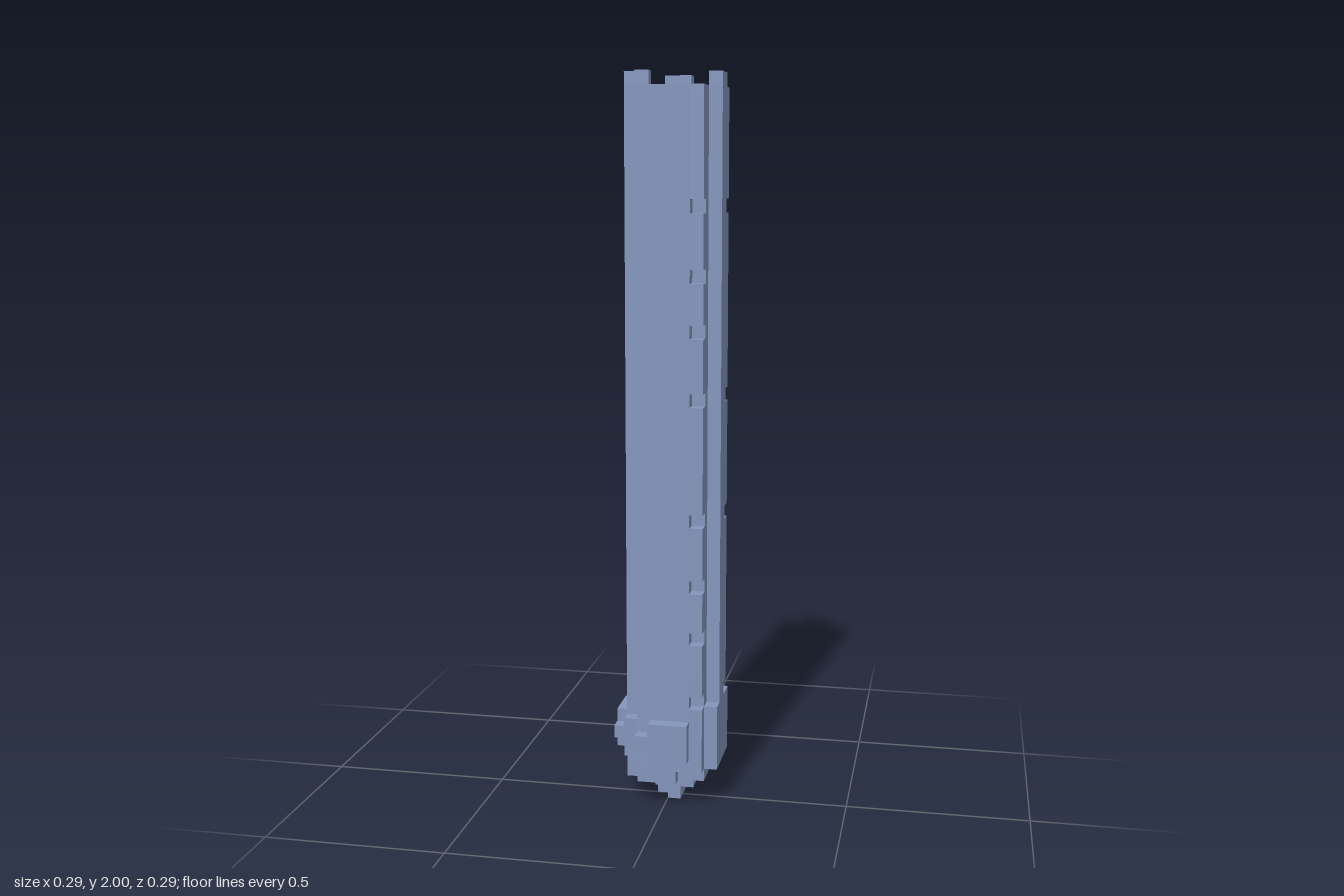
import * as THREE from 'three';

const U = 2 / 55; // block size: the model is 8 x 55 x 8 blocks

export function createModel() {
  const model = new THREE.Group();
  model.name = 'blockTower';
  const slate = new THREE.MeshStandardMaterial({ color: 0x8496bd });
  slate.name = 'slateBlue';

  // A box given by block ranges [start, end) in x and z, and y levels
  const box = (name, [x0, x1], [z0, z1], y0, y1) => {
    const mesh = new THREE.Mesh(
      new THREE.BoxGeometry((x1 - x0) * U, (y1 - y0) * U, (z1 - z0) * U), slate);
    mesh.position.set(((x0 + x1) / 2 - 4) * U, (y0 + y1) / 2 * U, ((z0 + z1) / 2 - 4) * U);
    mesh.name = name;
    model.add(mesh);
  };
  // The same box plus its twin across the x = -z diagonal
  const pair = (name, x, z, y0, y1) => {
    box(name, x, z, y0, y1);
    box(name + 'Twin', [8 - z[1], 8 - z[0]], [8 - x[1], 8 - x[0]], y0, y1);
  };
  // Vertical strip interrupted by one-block notches
  const notched = (add, name, x, z, y0, y1, notches) => {
    let y = y0;
    for (const n of [...notches, y1]) {
      if (n > y) add(name, x, z, y, n);
      y = n + 1;
    }
  };

  const allNotches = [8, 13, 17, 22, 31, 36, 40, 45];
  const fewNotches = [8, 22, 31, 45];

  // Shaft core, with an L-shaped pit in the sunken top
  box('shaftCore', [2, 6], [2, 6], 3, 51);
  pair('floorEdge', [2, 3], [2, 6], 51, 53);
  pair('floorSide', [5, 6], [2, 6], 51, 53);
  box('floorCorner', [3, 4], [4, 5], 51, 53);

  // Shaft walls, rising one block above the floor
  pair('frontWall', [2, 6], [6, 7], 3, 54);
  notched(pair, 'notchedCorner', [6, 7], [6, 7], 3, 54, allNotches);
  box('cornerRib', [6, 7], [1, 2], 3, 54);
  pair('sideWallBack', [6, 7], [2, 3], 3, 54);
  pair('sideWallMiddle', [6, 7], [3, 5], 3, 53);
  pair('sideWallFront', [6, 7], [5, 6], 3, 54);
  pair('outerRidge', [7, 8], [3, 5], 3, 54);
  notched(pair, 'outerRidgeNotched', [7, 8], [2, 3], 3, 54, fewNotches);

  // Prongs on the rim
  pair('ridgeProng', [7, 8], [3, 5], 54, 55);
  pair('cornerProng', [2, 3], [6, 7], 54, 55);

  // Thickened base
  pair('baseSideFront', [7, 8], [5, 6], 3, 8);
  pair('baseSideBack', [7, 8], [1, 2], 3, 8);
  box('baseCorner', [1, 2], [6, 7], 4, 7);

  // Raised plates on the base
  pair('basePlate', [3, 6], [7, 8], 4, 7);
  pair('basePlateTab', [2, 3], [7, 8], 5, 6);

  // Stepped tip
  box('tipUpper', [2, 6], [2, 6], 2, 3);
  pair('tipUpperFront', [2, 5], [6, 7], 2, 3);
  pair('tipUpperBack', [2, 6], [1, 2], 2, 3);
  box('tipMiddle', [3, 5], [2, 5], 1, 2);
  box('tipMiddleSide', [5, 6], [3, 5], 1, 2);
  box('tipBottom', [3, 5], [3, 4], 0, 1);
  box('tipBottomFront', [4, 5], [4, 5], 0, 1);

  return model;
}
